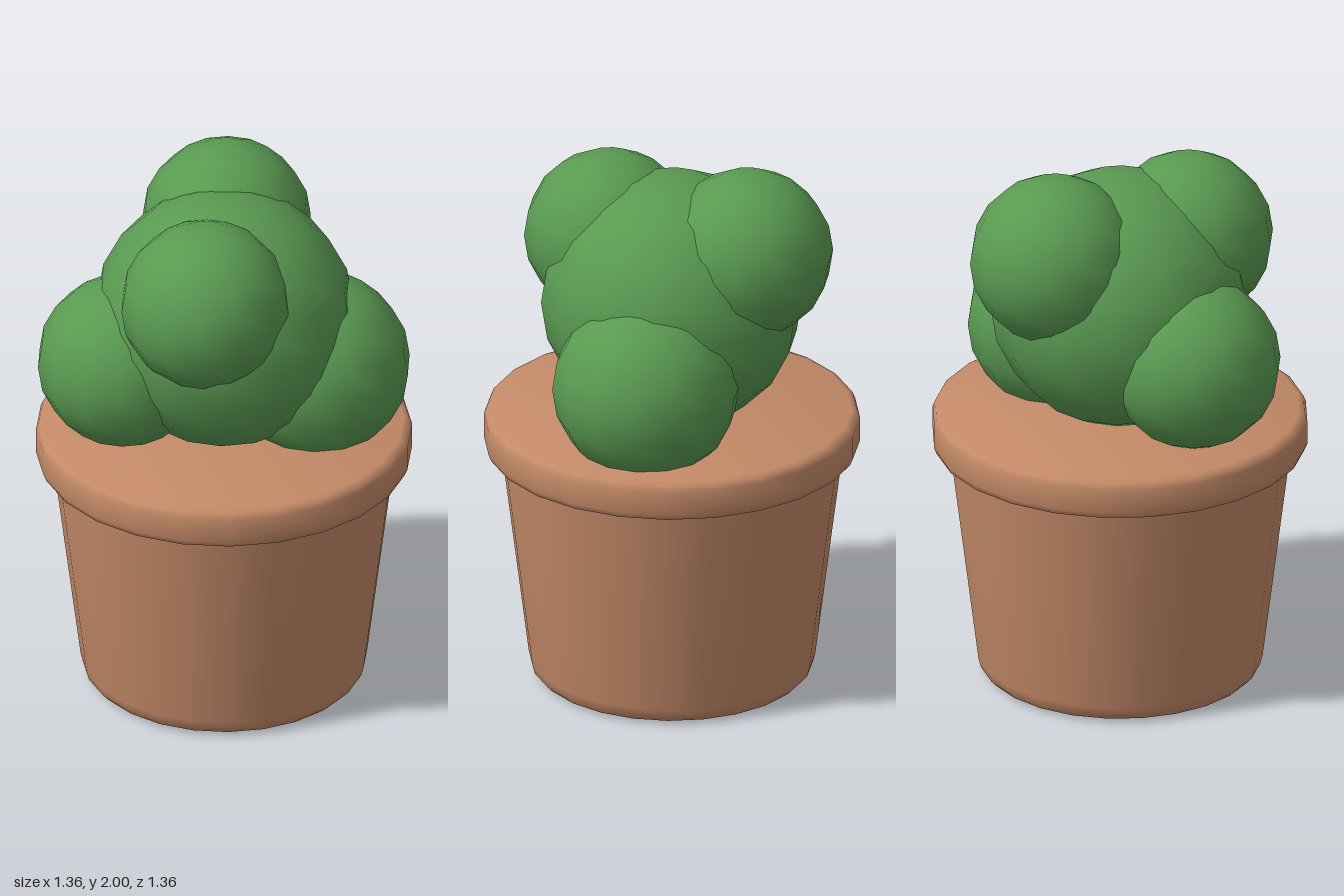
import * as THREE from 'three';
import { toCreasedNormals } from 'three/addons/utils/BufferGeometryUtils.js';

const clay = new THREE.MeshStandardMaterial({ color: 0xc48a68 });
const leaf = new THREE.MeshStandardMaterial({ color: 0x5a9a52 });

// Turned part from [radius, height] pairs, listed bottom to top
function turned(name, profile) {
  const points = profile.map(([r, y]) => new THREE.Vector2(r, y));
  const mesh = new THREE.Mesh(toCreasedNormals(new THREE.LatheGeometry(points, 24), 0.9), clay);
  mesh.name = name;
  return mesh;
}

// Round clump of foliage
function clump(name, radius, x, y, z) {
  const geometry = new THREE.SphereGeometry(radius, 14, 10).rotateY(Math.PI / 2);
  const mesh = new THREE.Mesh(geometry, leaf);
  mesh.position.set(x, y, z);
  mesh.name = name;
  return mesh;
}

export function createModel() {
  const model = new THREE.Group();
  model.name = 'pottedBush';

  // Tapered pot with a rounded foot
  const pot = new THREE.Group();
  pot.name = 'pot';
  pot.add(turned('potBody', [
    [0, 0], [0.46, 0], [0.49, 0.01], [0.509, 0.03], [0.518, 0.065], [0.622, 0.9],
  ]));

  // Thick rounded rim, closed across the top
  pot.add(turned('potRim', [
    [0.56, 0.88], [0.65, 0.88], [0.671, 0.888], [0.68, 0.91],
    [0.68, 1.0], [0.671, 1.022], [0.65, 1.03], [0, 1.03],
  ]));
  model.add(pot);

  // Foliage: one core with four smaller clumps around it
  const bush = new THREE.Group();
  bush.name = 'bush';
  bush.add(
    clump('coreFoliage', 0.475, 0, 1.465, 0),
    clump('upperFrontFoliage', 0.31, 0.065, 1.66, 0.26),
    clump('upperBackFoliage', 0.31, -0.13, 1.69, -0.26),
    clump('lowerRightFoliage', 0.315, -0.29, 1.315, 0.225),
    clump('lowerLeftFoliage', 0.34, 0.29, 1.26, -0.17),
  );
  model.add(bush);
  return model;
}
